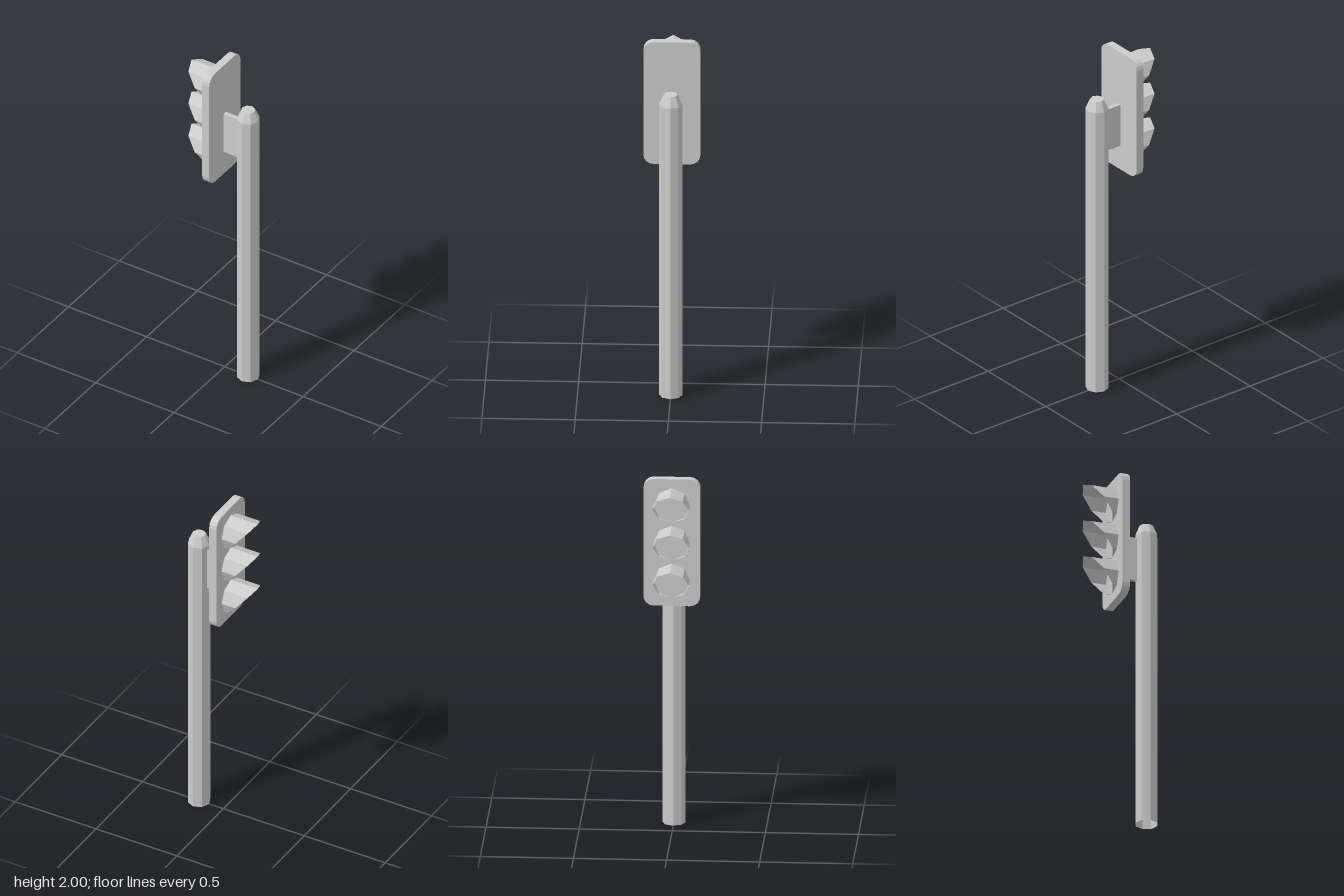
import * as THREE from 'three';

export function createModel() {
  const model = new THREE.Group();
  const grey = new THREE.MeshStandardMaterial({ color: 0xcccccc, flatShading: true, side: THREE.DoubleSide });
  grey.name = 'lightGrey';

  const add = (name, geometry, x = 0, y = 0, z = 0) => {
    const mesh = new THREE.Mesh(geometry, grey);
    mesh.name = name;
    mesh.position.set(x, y, z);
    model.add(mesh);
  };

  // Eight-sided post, open underneath, with a tapered cap
  const post = [[0.0625, 0], [0.0625, 1.705], [0.0375, 1.762], [0, 1.762]];
  add('post', new THREE.LatheGeometry(post.map(([r, y]) => new THREE.Vector2(r, y)), 8), 0.15);

  // Thin bracket between post and panel
  add('bracket', new THREE.BoxGeometry(0.1, 0.25, 0.024), 0.045, 1.555);

  // Signal panel with faceted round corners
  const w = 0.153, h = 0.3575, r = 0.055;
  const outline = new THREE.Shape();
  [[1, 1], [-1, 1], [-1, -1], [1, -1]].forEach(([sx, sy], i) => {
    outline.absarc(sx * (w - r), sy * (h - r), r, i * Math.PI / 2, (i + 1) * Math.PI / 2, false);
  });
  const panel = new THREE.ExtrudeGeometry(outline, { depth: 0.045, bevelEnabled: false, curveSegments: 2 });
  panel.rotateY(-Math.PI / 2);
  add('signalPanel', panel, 0, 2 - h);

  // Open hoods: octagonal tubes cut off along a slant
  const hoodRadius = 0.0975, hoodLength = 0.168;
  const hood = new THREE.CylinderGeometry(hoodRadius, hoodRadius, 1, 8, 1, true);
  hood.rotateZ(Math.PI / 2);
  const p = hood.attributes.position;
  for (let i = 0; i < p.count; i++) {
    const reach = hoodLength * (p.getY(i) + hoodRadius) / (2 * hoodRadius);
    p.setX(i, p.getX(i) < 0 ? -reach : 0);
  }
  for (let i = 0; i < 3; i++) add('lampHood' + (i + 1), hood, -0.045, 1.853 - i * 0.2125);

  return model;
}
